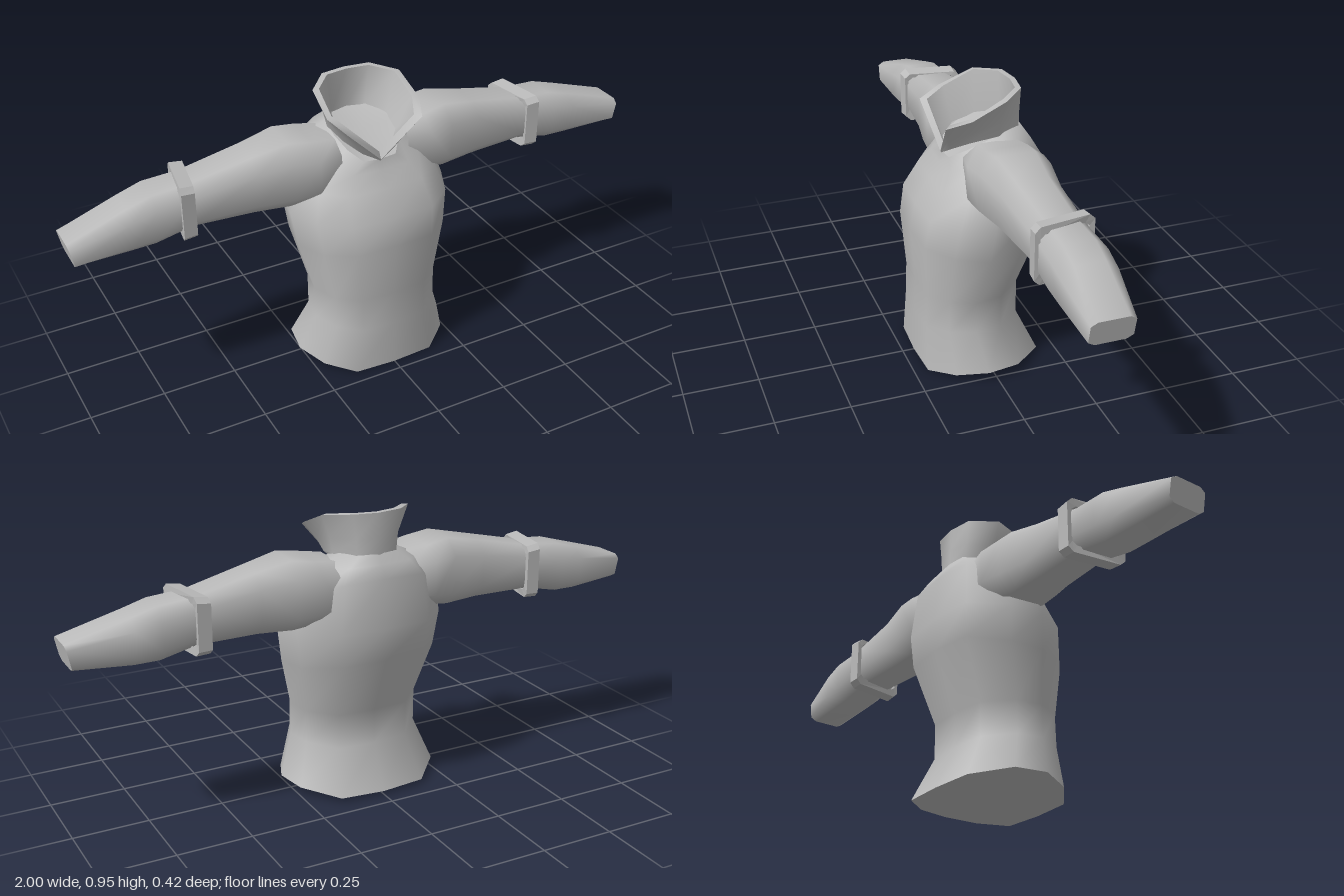
import * as THREE from 'three';

const cloth = new THREE.MeshStandardMaterial({ color: 0xbababa, side: THREE.DoubleSide });
cloth.name = 'grey cloth';
const V = (x, y, z) => new THREE.Vector3(x, y, z);

// Skin a list of equal-length point loops
function loft(rings, { closed = true, flip = false, flat = false } = {}) {
  const n = rings[0].length, index = [];
  for (let j = 0; j < rings.length - 1; j++) {
    for (let i = 0; i < (closed ? n : n - 1); i++) {
      const k = (i + 1) % n;
      const a = j * n + i, b = j * n + k, c = a + n, d = b + n;
      index.push(...(flip ? [a, d, b, a, c, d] : [a, b, d, a, d, c]));
    }
  }
  let g = new THREE.BufferGeometry().setFromPoints(rings.flat()).setIndex(index);
  if (flat) g = g.toNonIndexed();
  g.computeVertexNormals();
  return g;
}

// Close a loop with a fan around its middle
function cap(ring, flip = false) {
  const n = ring.length, index = [];
  const mid = ring.reduce((s, p) => s.add(p), V(0, 0, 0)).divideScalar(n);
  for (let i = 0; i < n; i++) {
    const k = (i + 1) % n;
    index.push(...(flip ? [n, k, i] : [n, i, k]));
  }
  const g = new THREE.BufferGeometry().setFromPoints([...ring, mid]).setIndex(index);
  g.computeVertexNormals();
  return g;
}

function add(parent, name, geometry) {
  const mesh = new THREE.Mesh(geometry, cloth);
  mesh.name = name;
  parent.add(mesh);
}

// Mirror a half outline, running front -> left -> back, to a whole one
const mirrored = (half) => half.concat(half.slice(1, -1).reverse().map((p) => V(-p.x, p.y, p.z)));

const bodyOutline = [[0, 1], [0.52, 0.97], [0.84, 0.62], [1, 0.12], [0.93, -0.42], [0.56, -0.94], [0, -1]];

// Front, side and back heights, half width, front z, back z
const bodyRings = [
  [0, 0.035, 0.012, 0.27, 0.21, -0.195],
  [0.16, 0.17, 0.16, 0.22, 0.205, -0.125],
  [0.28, 0.28, 0.28, 0.22, 0.2, -0.125],
  [0.47, 0.45, 0.48, 0.262, 0.212, -0.203],
  [0.565, 0.57, 0.59, 0.28, 0.195, -0.21],
  [0.65, 0.68, 0.75, 0.25, 0.145, -0.195],
  [0.7, 0.77, 0.79, 0.19, 0.11, -0.17],
  [0.735, 0.805, 0.82, 0.11, 0.1, -0.15],
].map(([yF, yS, yB, w, zF, zB]) => mirrored(bodyOutline.map(([u, t]) => V(
  u * w,
  yS + t * (yF - yB) / 2 + t * t * ((yF + yB) / 2 - yS),
  (zF + zB) / 2 + t * (zF - zB) / 2,
))));

// Box-like loop with cut corners around a sleeve
function sleeveRing(side, x, top, bottom, front, back, cut = 0.55, lean = 0) {
  const c = cut;
  const loop = [[1, -c], [1, c], [c, 1], [-c, 1], [-1, c], [-1, -c], [-c, -1], [c, -1]];
  return loop.map(([v, t]) => V(side * (x + lean * t), (top + bottom) / 2 + v * (top - bottom) / 2,
    (front + back) / 2 + t * (front - back) / 2));
}

function sleeve(side) {
  const group = new THREE.Group();
  group.name = side > 0 ? 'leftSleeve' : 'rightSleeve';
  const flip = side < 0;
  const rings = [
    [0.12, 0.8, 0.63, 0.07, -0.15],
    [0.2, 0.812, 0.61, 0.085, -0.17],
    [0.28, 0.825, 0.6, 0.075, -0.16],
    [0.4, 0.8, 0.605, 0.052, -0.142],
    [0.6, 0.757, 0.605, 0.03, -0.142],
    [0.72, 0.748, 0.58, 0.032, -0.15],
    [0.8, 0.725, 0.578, 0.031, -0.145],
  ].map((r) => sleeveRing(side, ...r));
  const end = sleeveRing(side, 0.99, 0.667, 0.587, 0.027, -0.107, 0.7);
  end.forEach((p) => { p.x += side * (p.y - 0.625) * 0.2; });
  rings.push(end);
  add(group, 'sleeve', loft(rings, { flip }));
  add(group, 'cuffEnd', cap(end, flip));

  // Raised band round the upper arm
  const band = [
    [0.585, 0.75, 0.61, 0.025, -0.14], [0.585, 0.764, 0.585, 0.038, -0.156],
    [0.63, 0.77, 0.583, 0.042, -0.157], [0.63, 0.745, 0.61, 0.025, -0.14],
  ].map((r) => sleeveRing(side, ...r, 0.82, 0.016));
  add(group, 'armBand', loft(band, { flip, flat: true }));
  return group;
}

// Stand-up collar, open in a V at the front
function collar() {
  const group = new THREE.Group();
  group.name = 'collar';
  const strip = (pts) => {
    const loop = mirrored(pts.map((p) => V(...p)));
    return [...loop, loop[0].clone()];
  };
  const base = strip([[0, 0.73, 0.102], [0.06, 0.765, 0.092], [0.1, 0.795, 0.04],
    [0.112, 0.81, -0.05], [0.07, 0.815, -0.135], [0, 0.815, -0.152]]);
  const rim = strip([[0, 0.735, 0.105], [0.132, 0.868, 0.13], [0.163, 0.895, 0.055],
    [0.155, 0.943, -0.06], [0.085, 0.953, -0.135], [0, 0.952, -0.148]]);
  const inRim = strip([[0, 0.758, 0.092], [0.112, 0.872, 0.112], [0.143, 0.898, 0.045],
    [0.135, 0.945, -0.055], [0.075, 0.953, -0.118], [0, 0.952, -0.13]]);
  const inBase = strip([[0, 0.74, 0.09], [0.05, 0.765, 0.08], [0.09, 0.79, 0.035],
    [0.1, 0.805, -0.045], [0.06, 0.812, -0.12], [0, 0.812, -0.135]]);
  const middle = base.map((p, i) => p.clone().lerp(rim[i], 0.4));
  middle.forEach((p) => { p.x *= 0.96; });
  add(group, 'collarOutside', loft([base, middle, rim], { closed: false }));
  add(group, 'collarRim', loft([rim, inRim], { closed: false }));
  add(group, 'collarInside', loft([inRim, inBase], { closed: false }));
  return group;
}

export function createModel() {
  const model = new THREE.Group();
  model.name = 'shirt';
  add(model, 'body', loft(bodyRings));
  add(model, 'hemBottom', cap(bodyRings[0], true));
  add(model, 'neckFloor', cap(bodyRings[bodyRings.length - 1]));
  model.add(collar(), sleeve(1), sleeve(-1));
  return model;
}
